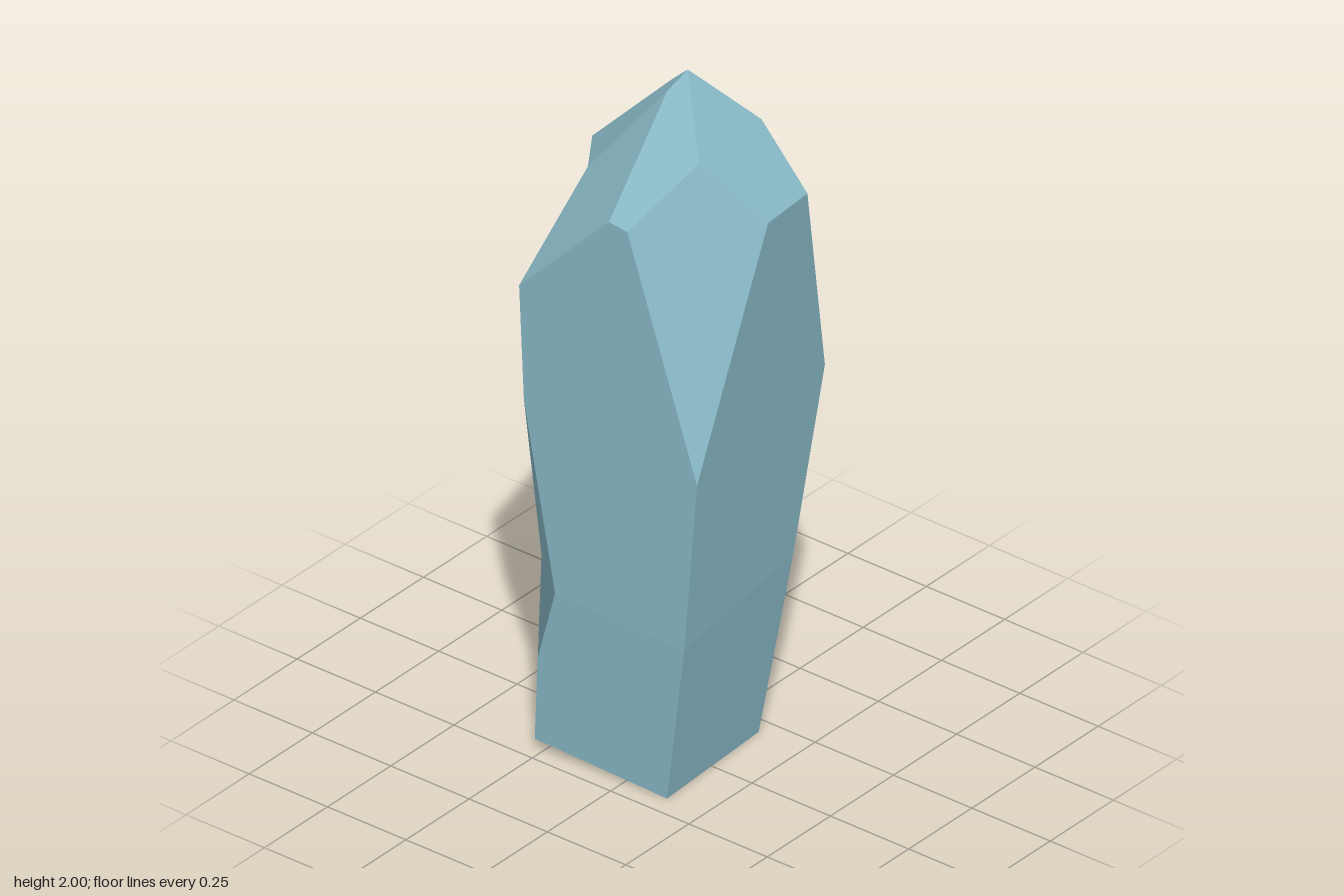
import * as THREE from 'three';

// Corners of the crystal, level by level
const V = (x, y, z) => new THREE.Vector3(x, y, z);
const tip = V(0, 2, 0.045), chip = V(-0.035, 1.94, 0.008);
const crownLeft = V(0.147, 1.83, 0.162), crownRight = V(-0.122, 1.835, 0.18), crownBack = V(0.107, 1.87, -0.09);
const shoulder = {
  frontA: V(-0.006, 1.655, 0.306), frontB: V(0.166, 1.655, 0.293),
  leftA: V(0.275, 1.675, 0.033), leftB: V(0.272, 1.675, -0.016),
  backA: V(0, 1.69, -0.26), backB: V(-0.1, 1.674, -0.193),
  rightA: V(-0.275, 1.675, 0.015), rightB: V(-0.271, 1.665, 0.07),
};
const waist = {
  fl: V(0.291, 1.08, 0.248), bl: V(0.253, 1.21, -0.308),
  br: V(-0.293, 1.395, -0.257), fr: V(-0.256, 1.0, 0.281),
};
const low = { fl: V(0.25, 0.52, 0.18), bl: V(0.2, 0.51, -0.3), fr: V(-0.225, 0.48, 0.215) };
const notch = {
  top: V(-0.268, 1.05, -0.262), back: V(-0.155, 0.5, -0.272),
  side: V(-0.24, 0.5, -0.185), bottom: V(-0.213, 0.27, -0.262),
};
const foot = {
  fl: V(0.2, 0, 0.11), bl: V(0.19, 0.036, -0.29),
  br: V(-0.215, 0.032, -0.27), fr: V(-0.19, 0, 0.132),
};

const { frontA, frontB, leftA, leftB, backA, backB, rightA, rightB } = shoulder;
const parts = {
  crown: [
    [tip, crownRight, frontA, frontB, crownLeft],
    [tip, crownLeft, leftA, leftB, crownBack],
    [tip, crownBack, backA, backB, chip],
    [tip, chip, rightA, rightB, crownRight],
  ],
  shoulders: [
    [crownLeft, frontB, waist.fl, leftA],
    [crownBack, leftB, waist.bl, backA],
    [chip, backB, waist.br, rightA],
    [crownRight, rightB, waist.fr, frontA],
  ],
  shaft: [
    [frontA, frontB, waist.fl, low.fl, low.fr, waist.fr],
    [leftA, leftB, waist.bl, low.bl, low.fl, waist.fl],
    [backA, backB, waist.br, notch.top, notch.back, low.bl, waist.bl],
    [rightA, rightB, waist.fr, low.fr, notch.side, notch.top, waist.br],
  ],
  notch: [[notch.top, notch.back, notch.bottom, notch.side]],
  base: [
    [low.fr, low.fl, foot.fl, foot.fr],
    [low.fl, low.bl, foot.bl, foot.fl],
    [low.bl, notch.back, notch.bottom, foot.br, foot.bl],
    [notch.side, low.fr, foot.fr, foot.br, notch.bottom],
    [foot.fl, foot.bl, foot.br, foot.fr],
  ],
};

// Fans each facet from its middle, turned outward, with one shared flat normal
function facetGeometry(facets) {
  const positions = [], normals = [];
  for (const facet of facets) {
    const n = facet.length;
    const middle = facet.reduce((sum, p) => sum.add(p), V(0, 0, 0)).divideScalar(n);
    const normal = V(0, 0, 0);
    facet.forEach((p, i) => normal.add(
      p.clone().sub(middle).cross(facet[(i + 1) % n].clone().sub(middle))));
    normal.normalize();
    const outward = normal.dot(middle.clone().sub(V(0, 1, 0))) > 0;
    const ring = outward ? facet : [...facet].reverse();
    if (!outward) normal.negate();
    ring.forEach((p, i) => {
      for (const q of [middle, p, ring[(i + 1) % n]]) {
        positions.push(q.x, q.y, q.z);
        normals.push(normal.x, normal.y, normal.z);
      }
    });
  }
  const geometry = new THREE.BufferGeometry();
  geometry.setAttribute('position', new THREE.Float32BufferAttribute(positions, 3));
  geometry.setAttribute('normal', new THREE.Float32BufferAttribute(normals, 3));
  return geometry;
}

export function createModel() {
  const crystalBlue = new THREE.MeshStandardMaterial({ color: 0x8abbc9 });
  crystalBlue.name = 'crystal blue';
  const crystal = new THREE.Group();
  crystal.name = 'crystal';
  for (const [name, facets] of Object.entries(parts)) {
    const mesh = new THREE.Mesh(facetGeometry(facets), crystalBlue);
    mesh.name = name;
    crystal.add(mesh);
  }
  return crystal;
}
